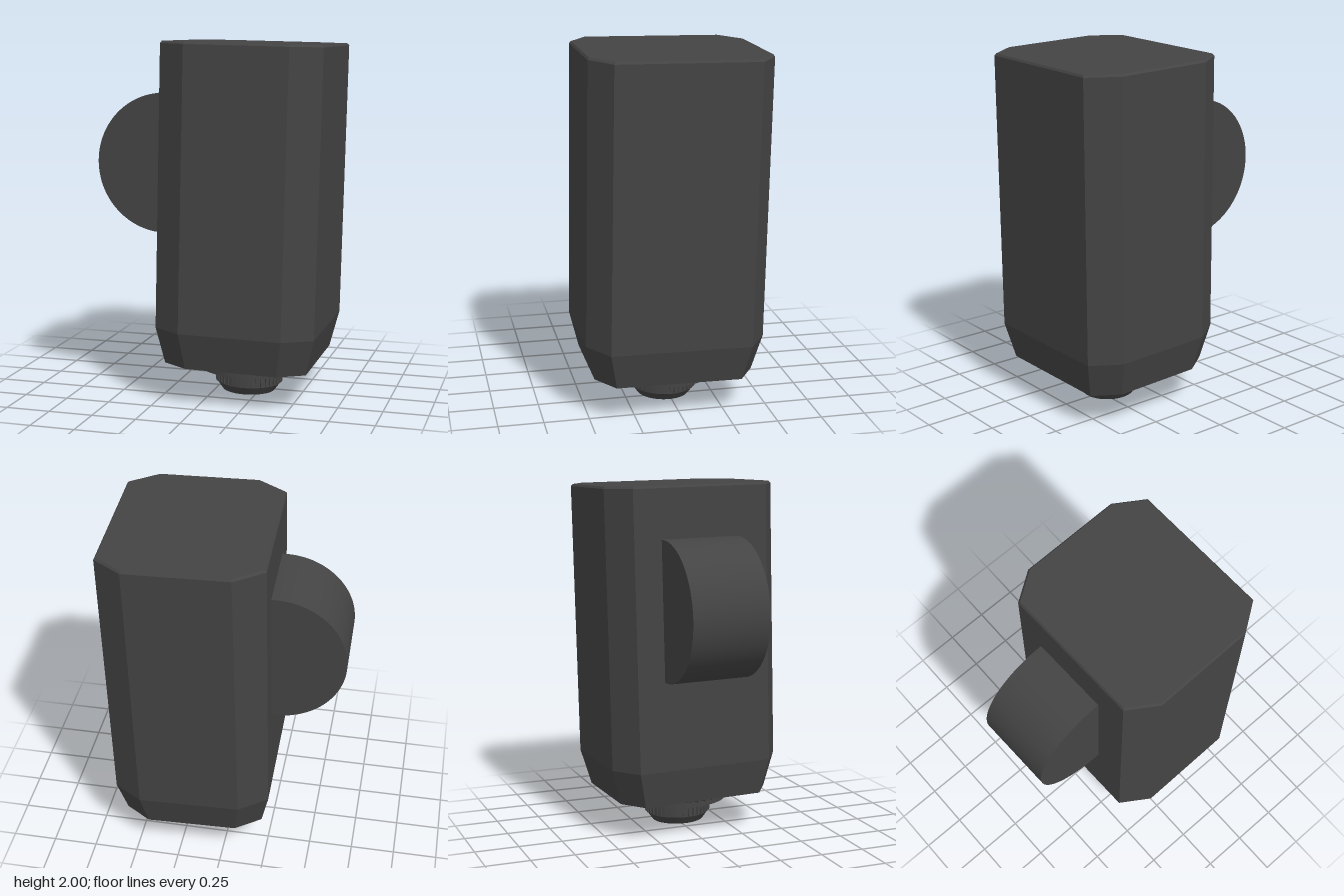
import * as THREE from 'three';
import { toCreasedNormals } from 'three/addons/utils/BufferGeometryUtils.js';

const material = new THREE.MeshStandardMaterial({ color: 0x444444 });

function addMesh(parent, name, geometry) {
  const mesh = new THREE.Mesh(geometry, material);
  mesh.name = name;
  parent.add(mesh);
  return mesh;
}

// Closed solid through eight-sided sections [y, halfWidth, halfDepth], bottom to top
function chamferedSolid(sections) {
  const positions = [];
  const index = [];
  const n = 8;
  for (const [y, w, d] of sections) {
    const fx = w * 0.64, fz = d * 0.785;
    for (const [x, z] of [[fx, d], [w, fz], [w, -fz], [fx, -d], [-fx, -d], [-w, -fz], [-w, fz], [-fx, d]]) {
      positions.push(x, y, z);
    }
  }
  for (let s = 0; s < sections.length - 1; s++) {
    for (let i = 0; i < n; i++) {
      const a = s * n + i, b = s * n + (i + 1) % n;
      index.push(a, b, b + n, a, b + n, a + n);
    }
  }
  const top = (sections.length - 1) * n;
  for (let i = 1; i < n - 1; i++) {
    index.push(0, i + 1, i, top, top + i, top + i + 1);
  }
  const geometry = new THREE.BufferGeometry();
  geometry.setAttribute('position', new THREE.Float32BufferAttribute(positions, 3));
  geometry.setIndex(index);
  return toCreasedNormals(geometry, 0.2);
}

function turned(profile) {
  const points = profile.map(([r, y]) => new THREE.Vector2(r, y));
  return toCreasedNormals(new THREE.LatheGeometry(points, 64), 0.5);
}

// Ring of upright ribs around the nozzle axis
function addRibs(parent, name, count, radius, y, size) {
  const ribs = new THREE.Group();
  ribs.name = name;
  const geometry = new THREE.BoxGeometry(...size);
  for (let i = 0; i < count; i++) {
    const a = (i / count) * Math.PI * 2;
    const rib = addMesh(ribs, 'rib', geometry);
    rib.position.set(Math.sin(a) * radius, y, Math.cos(a) * radius);
    rib.rotation.y = a;
  }
  parent.add(ribs);
}

export function createModel() {
  const model = new THREE.Group();
  model.name = 'dispenser';

  // Everything shares one slight lean
  const tilted = new THREE.Group();
  tilted.name = 'tiltedAssembly';
  tilted.position.set(0.183, 0, 0.021);
  tilted.rotation.set(-0.0157, 0.0175, -0.0188);
  model.add(tilted);

  // Tall chamfered housing, drawn in at the foot
  addMesh(tilted, 'housing', chamferedSolid([
    [0.205, 0.4, 0.447], [0.41, 0.446, 0.5], [1.973, 0.446, 0.5], [1.985, 0.438, 0.491],
  ]));

  // Half-round side block
  const cx = -0.465, cy = 1.305, r = 0.392;
  const shape = new THREE.Shape();
  shape.moveTo(-0.42, cy + r);
  shape.lineTo(cx, cy + r);
  shape.absarc(cx, cy, r, Math.PI / 2, Math.PI * 1.5, false);
  shape.lineTo(-0.42, cy - r);
  shape.closePath();
  const block = new THREE.ExtrudeGeometry(shape, { depth: 0.445, bevelEnabled: false, curveSegments: 40 });
  block.translate(0, 0, -0.235);
  addMesh(tilted, 'sideBlock', toCreasedNormals(block, 0.5));

  // Collar, flange and hollow nozzle below the housing
  addMesh(tilted, 'collar', turned([[0, 0.175], [0.315, 0.175], [0.335, 0.19], [0.335, 0.225]]));
  addRibs(tilted, 'collarRibs', 48, 0.332, 0.2, [0.02, 0.044, 0.026]);
  addMesh(tilted, 'flange', turned([[0, 0.135], [0.287, 0.135], [0.287, 0.17], [0.265, 0.18]]));
  addMesh(tilted, 'nozzle', turned([
    [0, 0.12], [0.122, 0.12], [0.125, 0.004], [0.15, 0.004], [0.183, 0.05], [0.183, 0.14],
  ]));
  addRibs(tilted, 'nozzleRibs', 40, 0.183, 0.096, [0.014, 0.08, 0.018]);

  return model;
}
